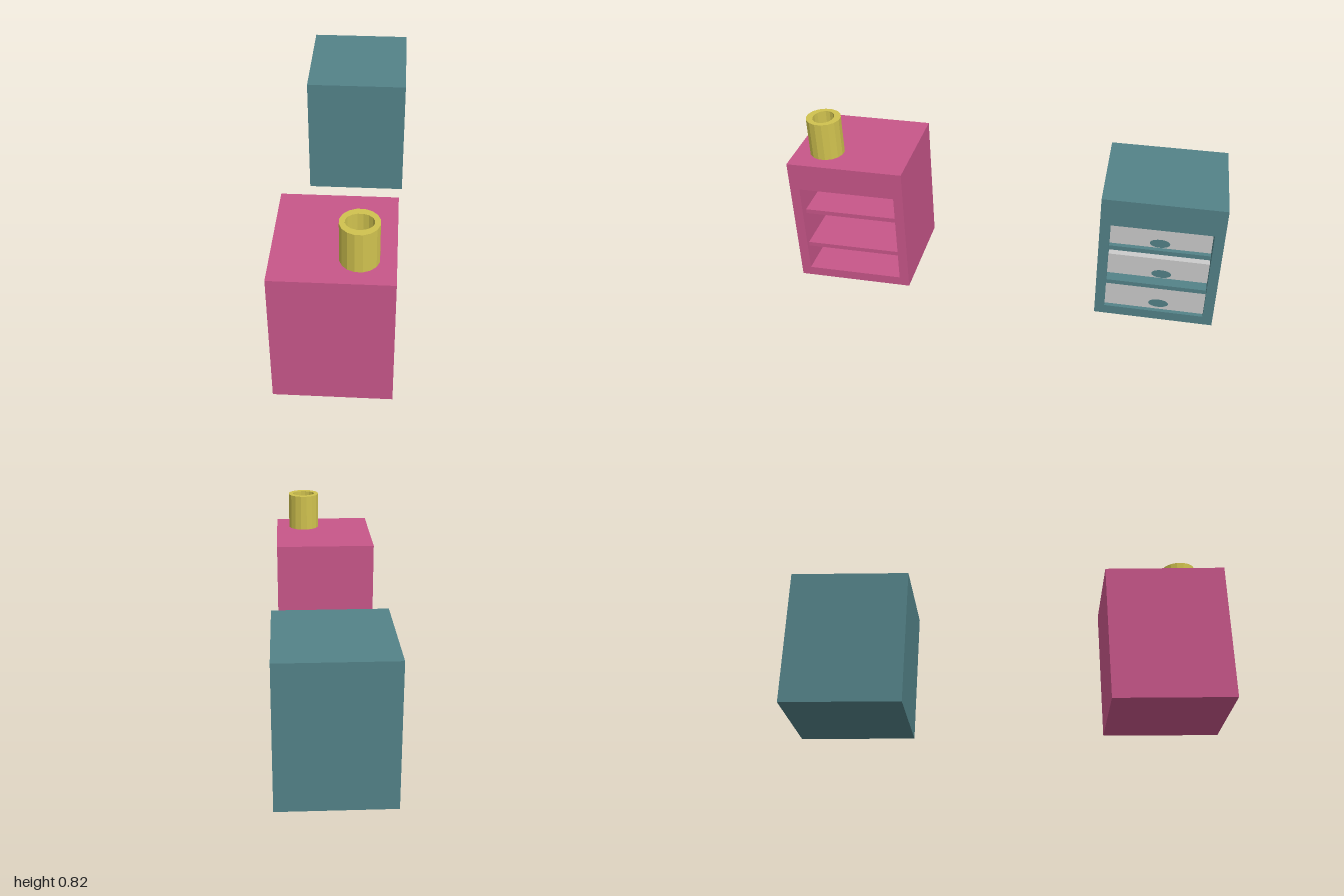
import * as THREE from 'three';

const mat = (color) => new THREE.MeshStandardMaterial({ color, flatShading: true });
const PINK = mat(0xc75689), TEAL = mat(0x538288), GOLD = mat(0xd0c24f), GREY = mat(0xcccccc);

const W = 0.498, H = 0.636, D = 0.545;       // cabinet size along x, y, z
const WALL = 0.045, OPEN_TOP = 0.503;        // wall thickness, top of the opening
const OPEN_W = D - 2 * WALL;

function add(parent, name, geometry, material, x = 0, y = 0, z = 0) {
  const mesh = new THREE.Mesh(geometry, material);
  mesh.name = name;
  mesh.position.set(x, y, z);
  parent.add(mesh);
  return mesh;
}

// Box given by its x and y ranges, as wide as the opening
function slab(parent, name, material, x0, x1, y0, y1, width = OPEN_W) {
  return add(parent, name, new THREE.BoxGeometry(x1 - x0, y1 - y0, width), material,
    (x0 + x1) / 2, (y0 + y1) / 2, 0);
}

function rect(Type, x0, y0, x1, y1) {
  return new Type([[x0, y0], [x1, y0], [x1, y1], [x0, y1]].map(([x, y]) => new THREE.Vector2(x, y)));
}

// Cabinet open towards +x, with two shelves set back from the opening
function cabinet(name, material) {
  const g = new THREE.Group();
  g.name = name;
  const frame = rect(THREE.Shape, -D / 2, 0, D / 2, H);
  frame.holes.push(rect(THREE.Path, -OPEN_W / 2, WALL, OPEN_W / 2, OPEN_TOP));
  const shell = new THREE.ExtrudeGeometry(frame, { depth: W - WALL, bevelEnabled: false });
  shell.rotateY(Math.PI / 2);
  add(g, 'shell', shell, material, -W / 2 + WALL);
  slab(g, 'backPanel', material, -W / 2, -W / 2 + WALL, 0, H, D);
  slab(g, 'upperShelf', material, -W / 2 + WALL, W / 2 - 0.04, 0.342, 0.364);
  slab(g, 'lowerShelf', material, -W / 2 + WALL, W / 2 - 0.02, 0.163, 0.184);
  return g;
}

// Polygon ring of 16 sides, used for the pipe outline and its bore
function ring(Type, rx, rz) {
  return new Type(Array.from({ length: 16 }, (_, i) => {
    const a = ((i + 0.5) / 16) * Math.PI * 2;
    return new THREE.Vector2(rx * Math.cos(a), rz * Math.sin(a));
  }));
}

function pipe() {
  const g = new THREE.Group();
  g.name = 'chimney';
  const outline = ring(THREE.Shape, 0.0805, 0.0805);
  outline.holes.push(ring(THREE.Path, 0.058, 0.049));
  const wall = new THREE.ExtrudeGeometry(outline, { depth: 0.183, bevelEnabled: false });
  add(g, 'chimneyWall', wall.rotateX(-Math.PI / 2), GOLD);
  const floor = new THREE.ShapeGeometry(ring(THREE.Shape, 0.058, 0.049));
  add(g, 'chimneyFloor', floor.rotateX(-Math.PI / 2), GOLD, 0, 0.01, 0);
  return g;
}

export function createModel() {
  const model = new THREE.Group();
  model.name = 'cabinetPair';

  // Front cabinet with the open pipe on top
  const shelfCabinet = cabinet('shelfCabinet', PINK);
  shelfCabinet.position.set(-0.024, 0, 0.7275);
  const chimney = pipe();
  chimney.position.set(0.103, H, 0.1255);
  shelfCabinet.add(chimney);

  // Rear cabinet with three drawers
  const drawerCabinet = cabinet('drawerCabinet', TEAL);
  drawerCabinet.position.set(-0.001, 0, -0.7275);
  const handleMat = TEAL.clone();
  handleMat.side = THREE.DoubleSide;
  const drawers = [ // name, bottom, top, setback, handle x, y, z
    ['topDrawer', 0.364, OPEN_TOP, 0.062, 0.25, 0.433, 0.0025],
    ['middleDrawer', 0.211, 0.318, 0.04, 0.228, 0.249, -0.0185],
    ['bottomDrawer', WALL, 0.163, 0.02, 0.274, 0.115, -0.0185],
  ];
  for (const [name, y0, y1, setback, hx, hy, hz] of drawers) {
    slab(drawerCabinet, name, GREY, -W / 2 + WALL, W / 2 - setback, y0, y1);
    // Flat oval handle floating in front of the drawer
    const oval = new THREE.CircleGeometry(1, 32).scale(0.045, 0.0215, 1).rotateY(Math.PI / 2);
    add(drawerCabinet, name + 'Handle', oval, handleMat, hx, hy, hz);
  }

  model.add(shelfCabinet, drawerCabinet);
  return model;
}
